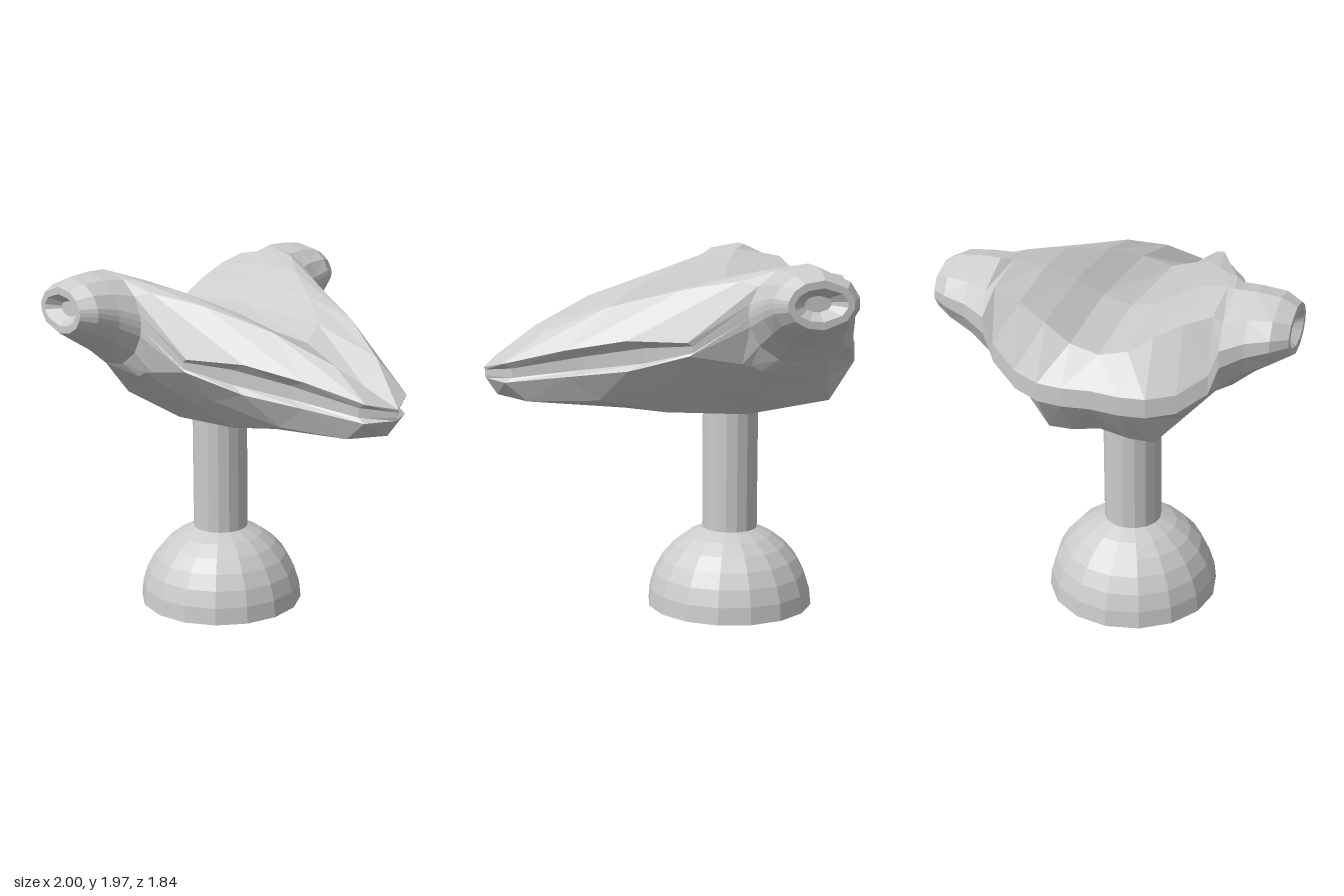
import * as THREE from 'three';

const material = new THREE.MeshStandardMaterial({ color: 0xcccccc, flatShading: true, side: THREE.DoubleSide });
const mix = THREE.MathUtils.lerp;

// Section of the head at one z, running rear, top, brow, side slot, jaw, underside
function section(z, rearX, rearY, topY, [browX, browY], [slotX, slotY], slotHalf, slotDepth, bottomY) {
  const topX = -0.36 - 0.6 * z * z;
  const jawX = slotX - 0.07 - 0.4 * z;
  const innerX = slotX - slotDepth;
  const lowerLip = slotY - slotHalf;
  const outline = [
    [rearX + 0.14, bottomY + 0.06],
    [rearX, rearY],
    [rearX, rearY + 0.1],
    [0.4 * rearX - 0.46, topY - 0.05],
    [topX, topY],
    [mix(topX, browX, 0.6), mix(topY, browY, 0.25)],
    [browX, browY],
    [slotX, slotY + slotHalf],
    [innerX, slotY + slotHalf / 2],
    [innerX, slotY - slotHalf / 2],
    [slotX - 0.01, lowerLip],
    [jawX, mix(bottomY, lowerLip, 0.45)],
    [mix(-0.38, jawX, 0.55), bottomY + 0.03],
    [-0.38, bottomY],
  ];
  return outline.map(([x, y]) => [x, y, z]);
}

// Oval section with matching points, for the side lobes
const LOBE_X = -0.58;
const ANGLES = [220, 190, 170, 140, 95, 60, 35, 12, 4, -4, -14, -38, -65, -95];
const oval = (z, cy, rx, ry) => ANGLES.map((deg) => {
  const a = THREE.MathUtils.degToRad(deg);
  return [LOBE_X + rx * Math.cos(a), cy + ry * Math.sin(a), z];
});

function headGeometry() {
  const half = [
    // centre valley, then the brow ridge with its recessed slot
    section(0, -1, 1.41, 1.69, [0.8, 1.44], [1, 1.365], 0.03, 0.005, 1.17),
    section(0.15, -1, 1.4, 1.73, [0.7, 1.59], [0.92, 1.38], 0.05, 0.05, 1.14),
    section(0.28, -0.985, 1.4, 1.82, [0.38, 1.73], [0.61, 1.44], 0.07, 0.1, 1.13),
    section(0.42, -0.93, 1.42, 1.9, [0, 1.83], [0.31, 1.49], 0.08, 0.09, 1.27),
    section(0.56, -0.87, 1.52, 1.95, [-0.26, 1.88], [0.02, 1.535], 0.035, 0.03, 1.41),
    // side lobe
    oval(0.61, 1.71, 0.29, 0.26),
    oval(0.72, 1.755, 0.25, 0.215),
    oval(0.84, 1.785, 0.23, 0.17),
    oval(0.92, 1.79, 0.175, 0.125),
    // sunken socket
    oval(0.92, 1.79, 0.14, 0.085),
    oval(0.86, 1.79, 0.07, 0.042),
  ];
  const mirrored = half.slice(1).reverse().map((ring) => ring.map(([x, y, z]) => [x, y, -z]));
  const rings = [...mirrored, ...half];
  const n = ANGLES.length;
  const positions = rings.flat(2);
  const index = [];
  for (let i = 0; i < rings.length - 1; i++) {
    for (let j = 0; j < n; j++) {
      const k = (j + 1) % n;
      const a = i * n + j, b = i * n + k, c = a + n, d = b + n;
      // mirrored halves get mirrored diagonals
      if (i < mirrored.length) index.push(a, c, d, a, d, b);
      else index.push(a, c, b, b, c, d);
    }
  }
  // socket floors
  const last = (rings.length - 1) * n;
  const centre = positions.length / 3;
  positions.push(LOBE_X, 1.79, -0.86, LOBE_X, 1.79, 0.86);
  for (let j = 0; j < n; j++) {
    const k = (j + 1) % n;
    index.push(centre, j, k, centre + 1, last + k, last + j);
  }
  const geometry = new THREE.BufferGeometry();
  geometry.setAttribute('position', new THREE.Float32BufferAttribute(positions, 3));
  geometry.setIndex(index);
  const flat = geometry.toNonIndexed();
  flat.computeVertexNormals();
  return flat;
}

export function createModel() {
  const group = new THREE.Group();
  const add = (name, geometry, x = 0, y = 0) => {
    const mesh = new THREE.Mesh(geometry, material);
    mesh.name = name;
    mesh.position.set(x, y, 0);
    group.add(mesh);
  };

  add('head', headGeometry());

  // round post running up into the head
  add('post', new THREE.CylinderGeometry(0.155, 0.155, 0.85, 16, 1, true), -0.365, 0.855);

  // hollow dome foot, open below and cut off where it meets the post
  const top = Math.asin(0.155 / 0.465);
  add('domeBase', new THREE.SphereGeometry(0.465, 16, 6, 0, Math.PI * 2, top, Math.PI / 2 - top), -0.365, 0);

  return group;
}
